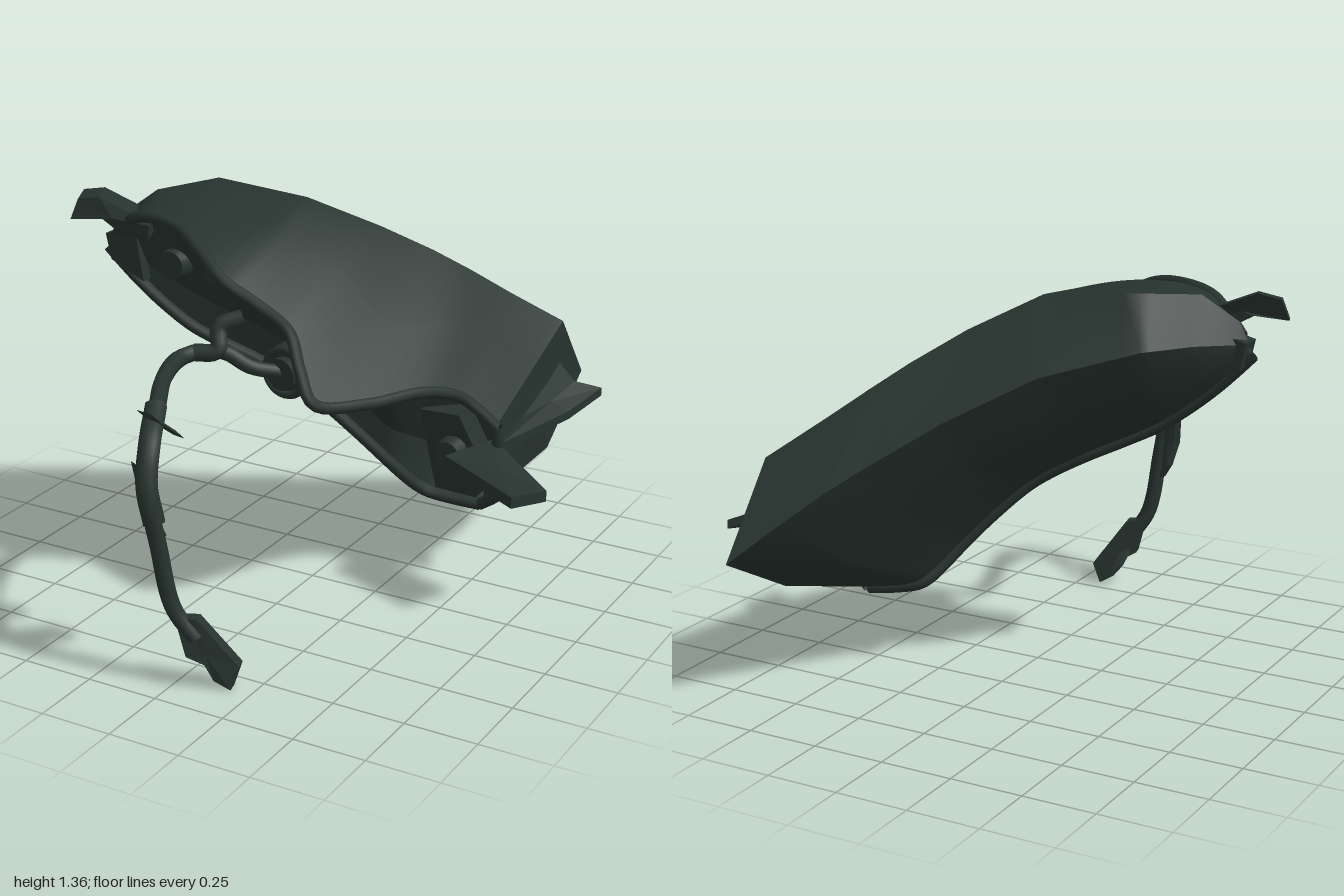
import * as THREE from 'three';

const V = (p) => new THREE.Vector3(...p);
const N = 48;

// Curved rail through a few points, sampled evenly by section
function curvedRail(points) {
  const curve = new THREE.CatmullRomCurve3(points.map(V), false, 'centripetal');
  return Array.from({ length: N + 1 }, (_, i) => curve.getPoint(i / N));
}

// Straight-sided rail with the same section spacing, for crisp corners
function straightRail(points) {
  const last = points.length - 1;
  return Array.from({ length: N + 1 }, (_, i) => {
    const k = Math.min(last - 1, Math.floor((i / N) * last));
    return V(points[k]).lerp(V(points[k + 1]), (i / N) * last - k);
  });
}

// Blend two rails and push the middle of the result outward by an offset
function between(a, b, t, offset = [0, 0, 0]) {
  return a.map((p, i) => p.clone().lerp(b[i], t).addScaledVector(V(offset), Math.sin((Math.PI * i) / N)));
}

// Surface through a list of rails; smooth within the strip, creased at its borders
function strip(rails) {
  const pos = [], index = [], n = rails[0].length;
  rails.forEach((r) => r.forEach((p) => pos.push(p.x, p.y, p.z)));
  for (let j = 0; j < rails.length - 1; j++) {
    for (let i = 0; i < n - 1; i++) {
      const a = j * n + i, b = a + n;
      index.push(a, b, a + 1, a + 1, b, b + 1);
    }
  }
  const g = new THREE.BufferGeometry();
  g.setAttribute('position', new THREE.Float32BufferAttribute(pos, 3));
  g.setIndex(index);
  g.computeVertexNormals();
  return g;
}

// Faceted fan closing a loop of points around a centre
function fan(loop, centre) {
  const pos = [];
  loop.forEach((p, i) => {
    const q = loop[(i + 1) % loop.length];
    [centre, p, q].forEach((v) => pos.push(v.x, v.y, v.z));
  });
  const g = new THREE.BufferGeometry();
  g.setAttribute('position', new THREE.Float32BufferAttribute(pos, 3));
  g.computeVertexNormals();
  return g;
}

// Closed slab between a loop of points and the same loop moved by an offset
function slab(points, offset) {
  const a = points.map(V), b = a.map((p) => p.clone().add(V(offset)));
  const mid = (l) => l.reduce((s, p) => s.add(p), new THREE.Vector3()).divideScalar(l.length);
  return [fan(a, mid(a)), fan([...b].reverse(), mid(b)),
    ...a.map((p, i) => {
      const j = (i + 1) % a.length;
      return strip([[p, a[j]], [b[i], b[j]]]);
    })];
}

const tube = (points, r, seg = 48) =>
  new THREE.TubeGeometry(new THREE.CatmullRomCurve3(points.map((p) => (p.isVector3 ? p : V(p)))), seg, r, 8);

export function createModel() {
  const model = new THREE.Group();
  const plastic = new THREE.MeshStandardMaterial({ color: 0x27332f, side: THREE.DoubleSide });
  plastic.name = 'dark green plastic';
  const add = (name, geometries) => {
    const group = new THREE.Group();
    group.name = name;
    [].concat(geometries).forEach((g) => {
      const m = new THREE.Mesh(g, plastic);
      m.name = name + 'Surface';
      group.add(m);
    });
    model.add(group);
    return group;
  };

  // Rails of the housing, from the high narrow end to the low pointed end
  const upper = curvedRail([[-0.68, 1.2, 0.14], [-0.52, 1.3, 0.25], [-0.3, 1.31, 0.33], [-0.08, 1.2, 0.43],
    [0.1, 1.03, 0.33], [0.23, 0.83, 0.4], [0.42, 0.78, 0.03], [0.5, 0.73, -0.12], [0.6, 0.62, -0.19]]);
  const crease = straightRail([[-0.68, 1.25, 0.12], [-0.57, 1.34, 0.06], [-0.43, 1.36, -0.11], [-0.1, 1.33, -0.14],
    [0.1, 1.22, -0.29], [0.24, 1.12, -0.42], [0.34, 1.04, -0.51], [0.45, 0.95, -0.6], [0.6, 0.83, -0.73]]);
  const ridge = straightRail([[-0.7, 1.18, 0.1], [-0.59, 1.19, -0.04], [-0.48, 1.19, -0.2], [-0.2, 1.11, -0.37],
    [0.05, 0.97, -0.53], [0.25, 0.83, -0.69], [0.34, 0.76, -0.78], [0.43, 0.68, -0.87], [0.57, 0.55, -1]]);
  const lower = curvedRail([[-0.72, 1.14, 0.14], [-0.6, 1.02, 0.12], [-0.42, 0.88, 0.08], [-0.2, 0.77, 0],
    [0, 0.65, -0.05], [0.2, 0.44, -0.15], [0.26, 0.36, -0.2], [0.32, 0.3, -0.25], [0.5, 0.27, -0.3]]);
  const belly = straightRail([[-0.72, 1.15, 0.12], [-0.61, 1.09, 0.02], [-0.46, 1.01, -0.09], [-0.21, 0.9, -0.22],
    [0.02, 0.76, -0.33], [0.23, 0.59, -0.45], [0.32, 0.52, -0.51], [0.42, 0.45, -0.58], [0.59, 0.37, -0.66]]);
  const shoulder = between(upper, crease, 0.5, [0.03, 0.03, 0.01]);

  add('sideWall', strip([upper, shoulder, crease]));
  add('topWall', strip([crease, ridge]));
  add('underside', strip([ridge, belly, lower]));

  // Shallow recessed panel in the open front
  const innerTop = between(between(upper, lower, 0.16), crease, 0.24);
  const innerLow = between(between(upper, lower, 0.8), ridge, 0.15);
  const endRim = [[0.605, 0.47, -0.22], [0.59, 0.35, -0.26]].map(V);
  add('recessedPanel', [strip([upper, innerTop]), strip([innerTop, innerLow]), strip([innerLow, lower]),
    fan([upper[N], innerTop[N], innerLow[N], lower[N], endRim[1], endRim[0]], V([0.56, 0.45, -0.27]))]);

  // End caps
  const section = (i) => [upper, crease, ridge, belly, lower].map((r) => r[i]);
  add('narrowEnd', fan(section(0), V([-0.71, 1.19, 0.12])));
  add('pointedEnd', fan([...section(N), endRim[1], endRim[0]], V([0.6, 0.54, -0.58])));

  // Rounded lip around the opening
  const every = (r) => r.filter((_, i) => i % 3 === 0);
  add('openingLip', [tube(every(upper), 0.02, 80), tube(every(lower), 0.022, 80),
    tube([upper[N], ...endRim, lower[N]], 0.022, 16)]);

  // Hooked tab at the high end
  add('hookTab', slab([[-0.83, 1.26, 0.17], [-0.81, 1.33, 0.15], [-0.73, 1.345, 0.14], [-0.62, 1.3, 0.12],
    [-0.52, 1.28, 0.16], [-0.52, 1.23, 0.16], [-0.63, 1.22, 0.14], [-0.72, 1.27, 0.14]], [0.03, -0.01, 0.08]));
  add('endLug', slab([[-0.72, 1.19, 0.08], [-0.6, 1.22, 0.08], [-0.57, 1.04, 0.08], [-0.7, 1.1, 0.08]], [0, 0, 0.08]));

  // Flat tab and fin at the low end
  add('sideTab', slab([[0.48, 0.54, -0.05], [0.58, 0.56, -0.22], [0.83, 0.47, -0.1], [0.78, 0.5, 0.07]], [0, -0.04, 0]));
  add('sideFin', slab([[0.58, 0.68, -0.74], [0.67, 0.63, -0.69], [0.75, 0.6, -0.75], [0.71, 0.57, -0.56],
    [0.61, 0.55, -0.22], [0.56, 0.56, -0.3]], [0, -0.03, 0]));
  add('lowerBlock', slab([[0.33, 0.64, -0.16], [0.47, 0.64, -0.17], [0.56, 0.42, -0.22], [0.5, 0.31, -0.26],
    [0.36, 0.33, -0.23]], [0, 0, -0.1]));

  // Round socket with stepped rings
  const socket = add('socket', [new THREE.CylinderGeometry(0.09, 0.1, 0.16, 28),
    new THREE.CylinderGeometry(0.055, 0.055, 0.22, 24),
    new THREE.TorusGeometry(0.078, 0.014, 8, 28).rotateX(Math.PI / 2).translate(0, 0.08, 0)]);
  socket.position.set(0.03, 0.84, 0.14);
  socket.rotation.set(Math.PI / 2, 0, 0.1);

  // Round bosses on the panel
  [[-0.45, 1.12, 0.15, 0.06], [-0.27, 1.12, 0.17, 0.04], [0.44, 0.5, -0.17, 0.055]].forEach(([x, y, z, r]) => {
    const boss = add('boss', new THREE.CylinderGeometry(r * 0.8, r, 0.05, 20));
    boss.position.set(x, y, z);
    boss.rotation.x = Math.PI / 2;
  });

  // Bracket that holds the cable at the opening
  add('cableBracket', [tube([[-0.1, 1.03, 0.28], [-0.16, 1, 0.33], [-0.15, 0.93, 0.36], [-0.22, 0.92, 0.39]], 0.03, 16),
    tube([[0.02, 0.84, 0.22], [-0.06, 0.87, 0.3], [-0.14, 0.92, 0.34], [-0.23, 0.92, 0.4]], 0.025, 16)]);

  // Hanging cable with a thicker sleeve, plug and side strap
  add('cable', tube([[-0.22, 0.92, 0.38], [-0.24, 0.915, 0.45], [-0.19, 0.91, 0.62], [-0.11, 0.88, 0.78],
    [-0.06, 0.8, 0.91], [-0.03, 0.68, 0.96], [-0.01, 0.5, 0.94], [0.02, 0.28, 0.91], [0.08, 0.18, 0.88]], 0.028));
  add('cableSleeve', tube([[-0.12, 0.88, 0.77], [-0.06, 0.81, 0.9], [-0.04, 0.7, 0.95], [-0.02, 0.58, 0.945]], 0.037, 20));
  add('cableClip', slab([[-0.13, 0.9, 0.86], [-0.07, 0.9, 0.87], [-0.04, 0.82, 0.78], [-0.1, 0.81, 0.75]], [0.03, -0.02, 0]));
  add('plug', slab([[0.03, 0.25, 0.92], [0.09, 0.25, 0.89], [0.2, 0.08, 0.82], [0.18, 0, 0.84], [0.13, 0.03, 0.86],
    [0.11, 0.09, 0.88], [0.06, 0.12, 0.91]], [-0.01, 0, -0.04]));
  add('plugPin', slab([[0.06, 0.16, 0.89], [0.1, 0.15, 0.88], [0.1, 0.05, 0.8], [0.08, 0.08, 0.82]], [0.01, 0, -0.02]));
  add('strap', slab([[-0.07, 0.76, 0.95], [-0.03, 0.62, 0.94], [-0.07, 0.46, 0.83], [-0.08, 0.46, 0.79],
    [-0.11, 0.51, 0.79], [-0.11, 0.58, 0.85]], [-0.025, 0.01, 0]));
  return model;
}
